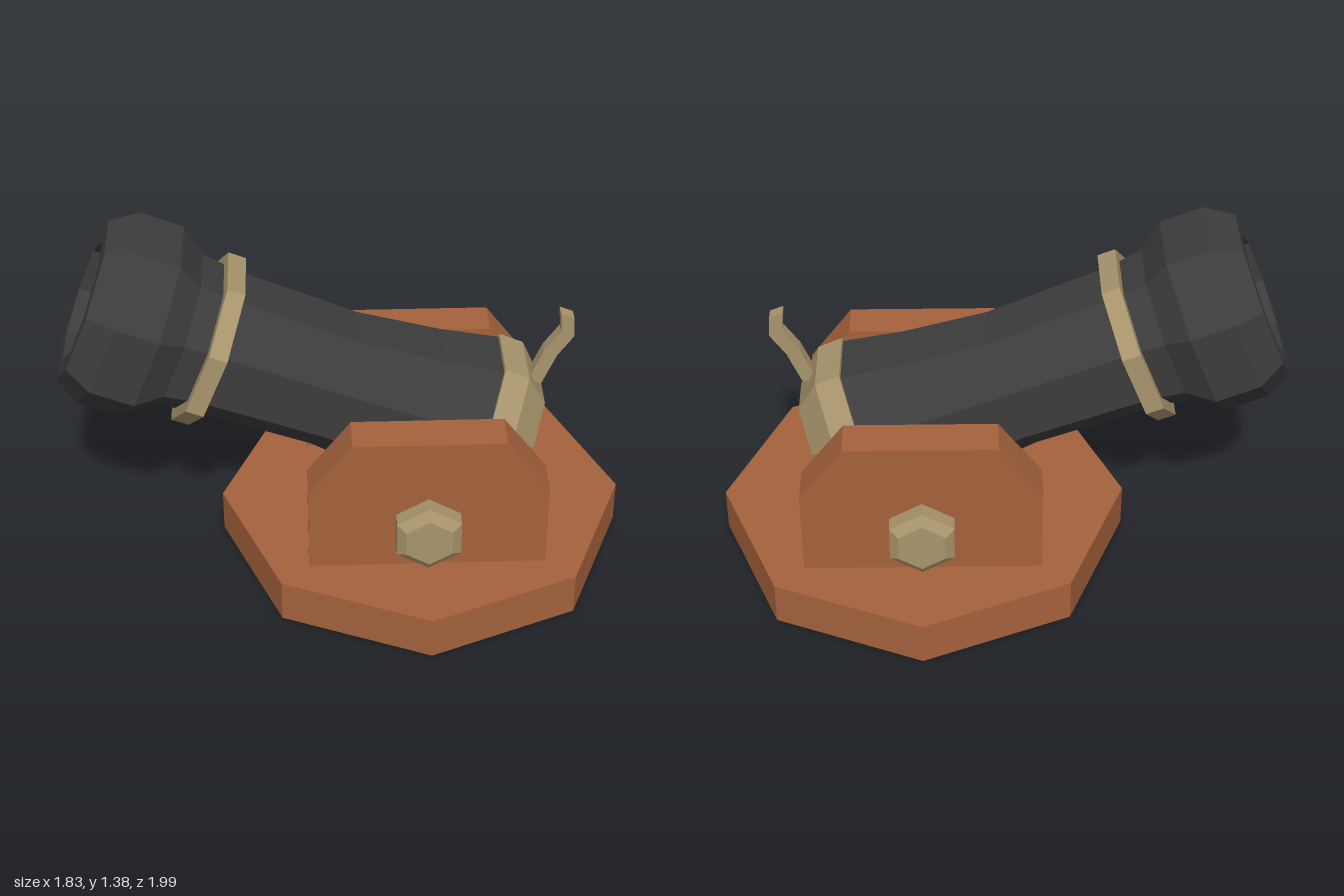
import * as THREE from 'three';

const iron = new THREE.MeshStandardMaterial({ color: 0x3c3c3c });
iron.name = 'dark iron';
const wood = new THREE.MeshStandardMaterial({ color: 0xa5623c });
wood.name = 'red brown wood';
const brass = new THREE.MeshStandardMaterial({ color: 0xa8946c });
brass.name = 'dull brass';

// Faceted mesh: every face gets its own normal
function facet(geometry, material, name) {
  const g = geometry.index ? geometry.toNonIndexed() : geometry;
  g.computeVertexNormals();
  const mesh = new THREE.Mesh(g, material);
  mesh.name = name;
  return mesh;
}

// Turned shape from [flat-to-centre radius, height] pairs, bottom to top
function turned(profile, sides, phase) {
  const k = 1 / Math.cos(Math.PI / sides);
  return new THREE.LatheGeometry(
    profile.map(([r, y]) => new THREE.Vector2(r * k, y)), sides, phase);
}

// Eight-sided gun section along +z, muzzle at the origin; the rear is taller than wide
function gunPart(profile, material, name) {
  const g = turned(profile, 8, Math.PI / 8);
  g.rotateX(Math.PI / 2);
  const p = g.attributes.position;
  for (let i = 0; i < p.count; i++) {
    const back = THREE.MathUtils.clamp((-p.getZ(i) - 1) / 0.57, 0, 1);
    p.setY(i, p.getY(i) * (1 + 0.14 * back));
  }
  return facet(g, material, name);
}

export function createModel() {
  const model = new THREE.Group();
  model.name = 'cannon';
  const carriage = new THREE.Group();
  carriage.name = 'carriage';
  carriage.position.set(0.14, 0, -0.22);
  carriage.rotation.y = THREE.MathUtils.degToRad(-38.5);
  model.add(carriage);

  // Octagonal base
  const base = facet(new THREE.CylinderGeometry(0.785, 0.785, 0.17, 8), wood, 'base');
  base.position.y = 0.085;
  carriage.add(base);

  // Side cheeks with clipped top corners, and a hexagonal bolt on each
  const outline = new THREE.Shape([
    [-0.45, 0.17], [0.45, 0.17], [0.45, 0.51], [0.285, 0.73], [-0.285, 0.73], [-0.45, 0.51],
  ].map(([s, y]) => new THREE.Vector2(s, y)));
  for (const left of [true, false]) {
    const side = new THREE.Group();
    side.name = left ? 'leftSide' : 'rightSide';
    side.rotation.y = left ? 0 : Math.PI;
    const cheekShape = new THREE.ExtrudeGeometry(outline, { depth: 0.155, bevelEnabled: false });
    cheekShape.rotateY(-Math.PI / 2);
    cheekShape.translate(0.455, 0, 0);
    side.add(facet(cheekShape, wood, 'cheek'));

    const boltShape = turned(
      [[0.121, 0.44], [0.121, 0.517], [0.087, 0.545], [0, 0.545]], 6, Math.PI / 6);
    boltShape.rotateZ(-Math.PI / 2);
    const bolt = facet(boltShape, brass, 'bolt');
    bolt.position.y = 0.34;
    side.add(bolt);
    carriage.add(side);
  }

  // Gun, tilted upwards
  const gun = new THREE.Group();
  gun.name = 'gun';
  gun.position.set(0, 1.095, 1.27);
  gun.rotation.x = THREE.MathUtils.degToRad(-22);
  carriage.add(gun);

  // Barrel with waist, flared muzzle and hollow bore
  gun.add(gunPart([
    [0.29, -1.58], [0.265, -1.33], [0.25, -1.0], [0.262, -0.5], [0.28, -0.37],
    [0.35, -0.27], [0.35, -0.1], [0.29, 0], [0.215, 0], [0.2, -0.45], [0, -0.45],
  ], iron, 'barrel'));

  // Ring behind the muzzle
  gun.add(gunPart([
    [0.25, -0.53], [0.312, -0.53], [0.312, -0.46], [0.25, -0.46],
  ], brass, 'muzzleRing'));

  // Breech cap
  gun.add(gunPart([
    [0, -1.78], [0.2, -1.78], [0.295, -1.66], [0.298, -1.56], [0.25, -1.56],
  ], brass, 'breech'));

  // Bent square fuse
  const fuseShape = new THREE.CylinderGeometry(0.036, 0.036, 1, 4, 3);
  fuseShape.rotateY(Math.PI / 4);
  const path = [[0.72, -0.425], [0.85, -0.48], [0.935, -0.54], [1.015, -0.535]];
  const p = fuseShape.attributes.position;
  for (let i = 0; i < p.count; i++) {
    const [y, z] = path[Math.round((p.getY(i) + 0.5) * 3)];
    p.setXYZ(i, p.getX(i) + 0.025, y - p.getZ(i) * -0.4, z + p.getZ(i));
  }
  carriage.add(facet(fuseShape, brass, 'fuse'));

  return model;
}
